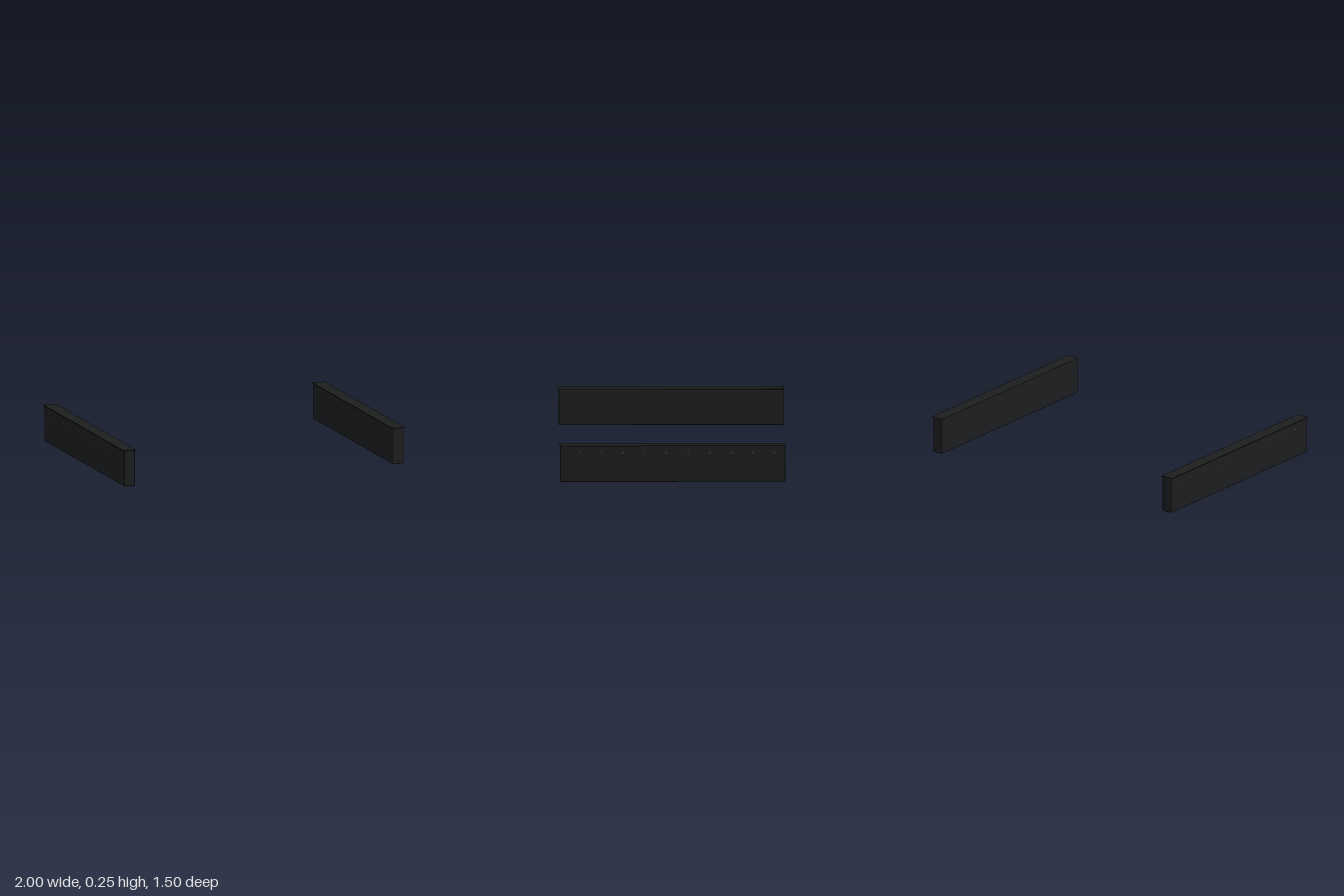
import * as THREE from 'three';
import { RoundedBoxGeometry } from 'three/addons/geometries/RoundedBoxGeometry.js';

const LENGTH = 1.5;
const HEIGHT = 0.247;
const CAP = 0.006;

export function createModel() {
  const model = new THREE.Group();
  const dark = new THREE.MeshStandardMaterial({ color: 0x1c1d1e });
  const metal = new THREE.MeshStandardMaterial({ color: 0x999999 });

  const bodyGeometry = new RoundedBoxGeometry(0.074, HEIGHT - CAP, LENGTH - 0.002, 2, 0.006);
  const capGeometry = new THREE.BoxGeometry(0.087, CAP, LENGTH);
  const studGeometry = new THREE.SphereGeometry(0.005, 12, 6, 0, Math.PI * 2, 0, Math.PI / 2);

  const add = (parent, name, geometry, material, x, y, z) => {
    const mesh = new THREE.Mesh(geometry, material);
    mesh.name = name;
    mesh.position.set(x, y, z);
    parent.add(mesh);
    return mesh;
  };

  // Two mirrored side skirts, studs on the outer faces
  for (const side of [1, -1]) {
    const beam = new THREE.Group();
    beam.name = side > 0 ? 'leftBeam' : 'rightBeam';
    add(beam, 'body', bodyGeometry, dark, side * 0.955, (HEIGHT - CAP) / 2, 0);
    add(beam, 'topCap', capGeometry, dark, side * 0.9565, HEIGHT - CAP / 2, 0);

    // Row of ten round-headed studs
    for (let i = 0; i < 10; i++) {
      const stud = add(beam, 'stud', studGeometry, metal, side * 0.992, 0.197, 0.617 - i * 0.1438);
      stud.rotation.z = -side * Math.PI / 2;
    }
    model.add(beam);
  }
  return model;
}
